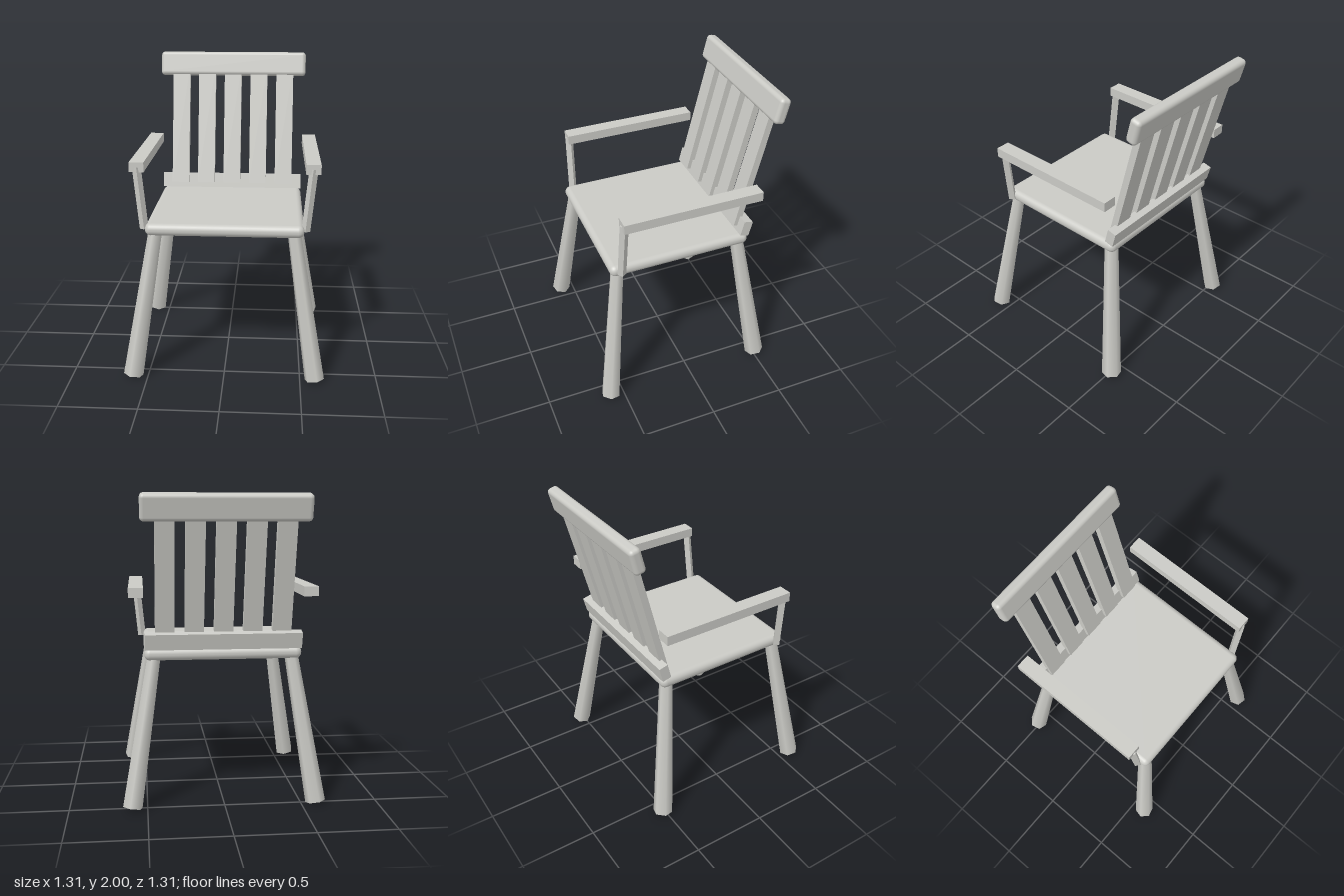
import * as THREE from 'three';
import { RoundedBoxGeometry } from 'three/addons/geometries/RoundedBoxGeometry.js';

export function createModel() {
  const chair = new THREE.Group();
  chair.name = 'armchair';
  const paleGrey = new THREE.MeshStandardMaterial({ color: 0xcacac5 });
  paleGrey.name = 'paleGrey';

  const add = (name, geometry, x = 0, y = 0, z = 0) => {
    const mesh = new THREE.Mesh(geometry, paleGrey);
    mesh.name = name;
    mesh.position.set(x, y, z);
    chair.add(mesh);
    return mesh;
  };

  // Places a geometry so its y axis runs from one point to another
  const UP = new THREE.Vector3(0, 1, 0);
  const span = (name, from, to, makeGeometry) => {
    const dir = to.clone().sub(from);
    const mesh = add(name, makeGeometry(dir.length()));
    mesh.position.copy(from).add(to).multiplyScalar(0.5);
    mesh.quaternion.setFromUnitVectors(UP, dir.normalize());
    return mesh;
  };

  // Seat with rounded edges
  add('seat', new RoundedBoxGeometry(1.015, 0.08, 0.965, 4, 0.038), 0, 0.99, 0.037);

  for (const side of [-1, 1]) {
    const label = side > 0 ? 'left' : 'right';

    // Splayed six-sided legs, tapering upward
    for (const [end, topZ, footZ] of [['Front', 0.46, 0.59], ['Back', -0.385, -0.515]]) {
      span(
        label + end + 'Leg',
        new THREE.Vector3(side * 0.595, 0.013, footZ),
        new THREE.Vector3(side * 0.445, 0.97, topZ),
        (length) => new THREE.CylinderGeometry(0.044, 0.065, length, 6)
          .rotateY(Math.atan2(-Math.sign(footZ), side))
      );
    }

    // Armrest and its turned, outward-leaning post
    add(label + 'Armrest', new THREE.BoxGeometry(0.094, 0.063, 0.927), side * 0.556, 1.388, -0.006);
    span(
      label + 'ArmPost',
      new THREE.Vector3(side * 0.517, 0.985, 0.452),
      new THREE.Vector3(side * 0.557, 1.388, 0.441),
      (length) => new THREE.BoxGeometry(0.04, length, 0.04).rotateY(side * 0.65)
    );
  }

  // Reclined back: lower rail, five slats, rounded top rail
  const recline = -0.243;
  add('lowerRail', new THREE.BoxGeometry(1.01, 0.105, 0.062), 0, 1.078, -0.426).rotation.x = recline;
  for (let i = -2; i <= 2; i++) {
    add('backSlat', new THREE.BoxGeometry(0.123, 0.86, 0.045), i * 0.188, 1.487, -0.491).rotation.x = recline;
  }
  add('topRail', new RoundedBoxGeometry(1.053, 0.17, 0.076, 3, 0.026), 0, 1.913, -0.602).rotation.x = recline;

  return chair;
}
